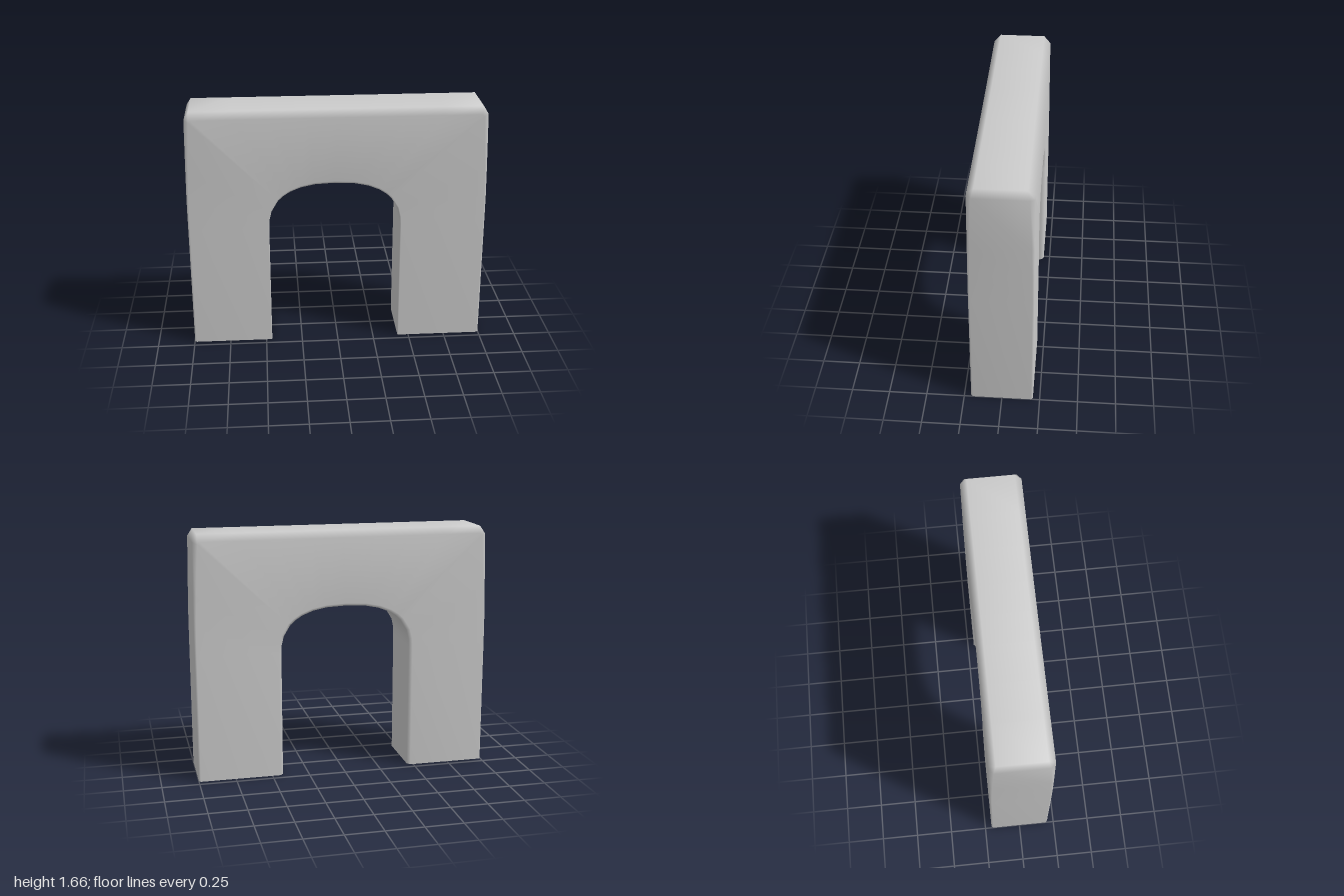
import * as THREE from 'three';

// Half of the arch, from the foot up to the crown:
// [outer x, outer y, bevel inset x, bevel inset y, opening angle in degrees, opening base y]
const HALF = [
  [1.0, 0, 0.012, 0, 0, 0],
  [1.0, 0.85, 0.012, 0, 0, 0.85],
  [1.0, 1.05, 0.014, 0, 7, 0.85],
  [0.997, 1.25, 0.018, 0, 18, 0.85],
  [0.99, 1.61, 0.03, 0.01, 34, 0.85],
  [0.96, 1.66, 0.015, 0.045, 42, 0.85],
  [0.7, 1.66, 0, 0.045, 52, 0.85],
  [0.45, 1.66, 0, 0.045, 64, 0.85],
  [0.2, 1.66, 0, 0.045, 77, 0.85],
  [0, 1.66, 0, 0.045, 90, 0.85],
];
const OPEN_X = -0.018, OPEN_W = 0.442, OPEN_H = 0.305, POWER = 2 / 2.45;

// Eight-sided bevelled cross-section between the outer edge and the opening
function section([ox, oy, ix, iy, deg, base], side) {
  const a = THREE.MathUtils.degToRad(deg);
  const c = Math.pow(Math.max(Math.cos(a), 0), POWER), s = Math.pow(Math.sin(a), POWER);
  const rise = base + OPEN_H * s;
  const inner = (lip, lift) => [OPEN_X + side * (OPEN_W + lip) * c, rise + lift * s];
  const outer = [side * ox, oy];
  const inset = [side * (ox - ix), oy - iy];
  const d = 0.205 - 0.005 * s;            // half depth, slightly slimmer at the crown
  const b = Math.max(ix, iy);             // outer bevel depth
  return [
    [...outer, d - b],
    [...inset, d],
    [...inner(0.006, 0.022), d],
    [...inner(0, 0), d - 0.008 - 0.02 * s],
    [...inner(0, 0), -d + 0.025],
    [...inner(0.02, 0.02), -d],
    [...inset, -d],
    [...outer, -d + b],
  ];
}

// Loft the sections from one foot, over the crown, to the other foot
function archGeometry() {
  const rings = [
    ...HALF.map((row) => section(row, 1)),
    ...HALF.slice(0, -1).reverse().map((row) => section(row, -1)),
  ];
  const n = rings[0].length, index = [];
  for (let s = 0; s < rings.length - 1; s++) {
    for (let j = 0; j < n; j++) {
      const k = (j + 1) % n;
      const a = s * n + j, b = (s + 1) * n + j, c = (s + 1) * n + k, d = s * n + k;
      index.push(a, b, c, a, c, d);
    }
  }
  const geometry = new THREE.BufferGeometry();
  geometry.setAttribute('position', new THREE.Float32BufferAttribute(rings.flat(2), 3));
  geometry.setIndex(index);
  geometry.computeVertexNormals();
  return geometry;
}

export function createModel() {
  const group = new THREE.Group();
  group.name = 'archway';
  // Hollow shell, open under both feet
  const material = new THREE.MeshStandardMaterial({ color: 0xcccccc, side: THREE.DoubleSide });
  const arch = new THREE.Mesh(archGeometry(), material);
  arch.name = 'archShell';
  group.add(arch);
  return group;
}
